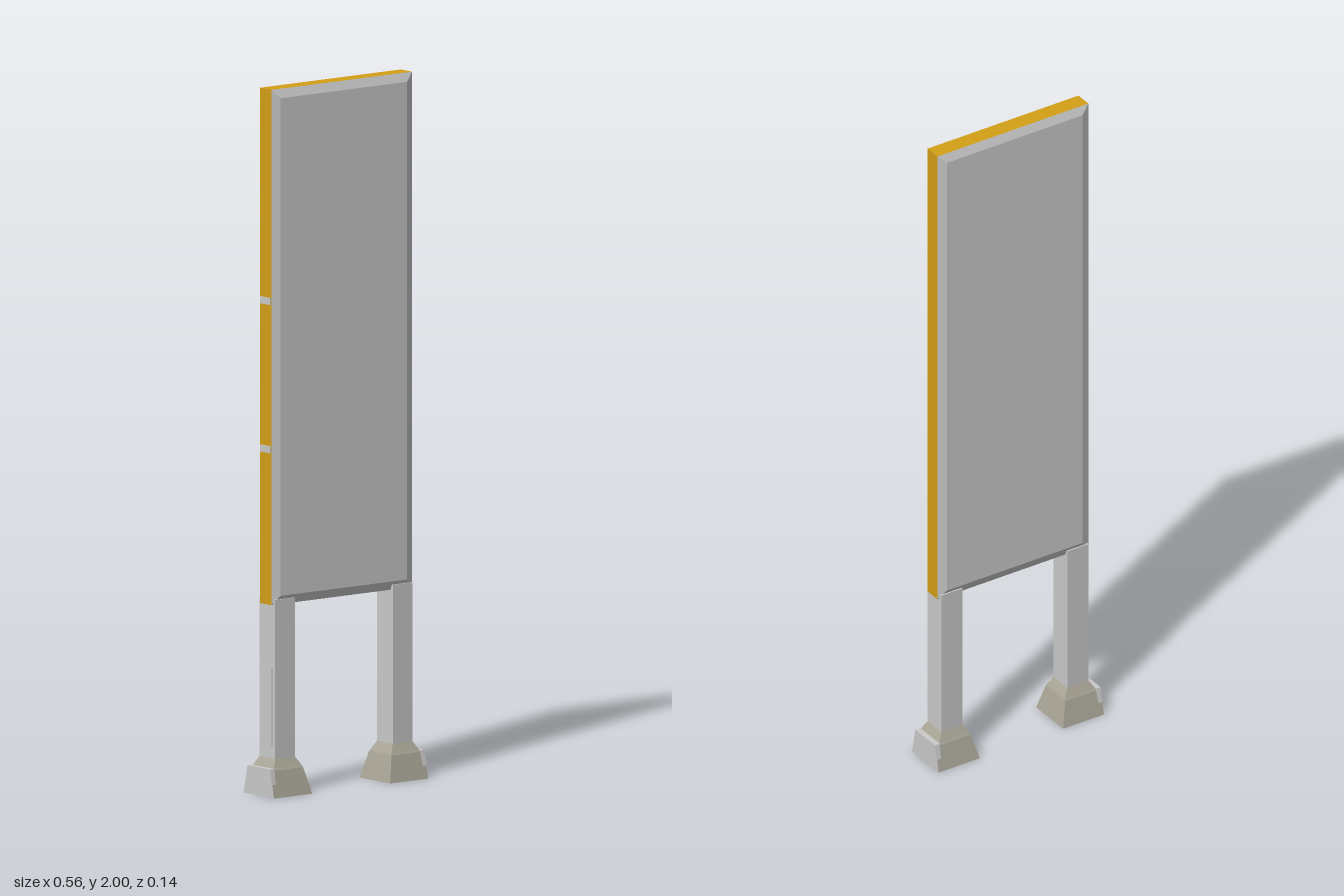
import * as THREE from 'three';

const grey = new THREE.MeshStandardMaterial({ color: 0xcccccc, flatShading: true });
const gold = new THREE.MeshStandardMaterial({ color: 0xd4a017, flatShading: true });
const stone = new THREE.MeshStandardMaterial({ color: 0xaaa698, flatShading: true });

// Skin rectangular rings [y, x0, x1, halfDepth] from first to last, with end caps
function loft(rings) {
  const pos = [], idx = [];
  for (const [y, x0, x1, d] of rings) {
    pos.push(x0, y, d, x1, y, d, x1, y, -d, x0, y, -d);
  }
  for (let r = 0; r < rings.length - 1; r++) {
    for (let i = 0; i < 4; i++) {
      const a = r * 4 + i, b = r * 4 + (i + 1) % 4;
      idx.push(a, b, b + 4, a, b + 4, a + 4);
    }
  }
  const t = (rings.length - 1) * 4;
  idx.push(0, 2, 1, 0, 3, 2, t, t + 1, t + 2, t, t + 2, t + 3);
  const g = new THREE.BufferGeometry();
  g.setAttribute('position', new THREE.Float32BufferAttribute(pos, 3));
  g.setIndex(idx);
  const flat = g.toNonIndexed();
  flat.computeVertexNormals();
  return flat;
}

function add(parent, name, geometry, material, x = 0, y = 0, z = 0) {
  const mesh = new THREE.Mesh(geometry, material);
  mesh.name = name;
  mesh.position.set(x, y, z);
  parent.add(mesh);
  return mesh;
}

const box = (w, h, d) => new THREE.BoxGeometry(w, h, d);

export function createModel() {
  const model = new THREE.Group();
  const bottom = 0.54, top = 2, halfW = 0.253, core = 0.025, bevel = 0.025;
  const midY = (bottom + top) / 2, halfH = (top - bottom) / 2;

  // Coloured frame showing around the edge of the panel
  add(model, 'panelFrame', box(halfW * 2, halfH * 2, core * 2), gold, 0, midY, 0);

  // Bevelled face plates, front and back
  const plate = loft([
    [core, -halfW, halfW, halfH],
    [0.0345, -halfW + bevel, halfW - bevel, halfH - bevel],
  ]).rotateX(Math.PI / 2);
  add(model, 'frontPlate', plate, grey, 0, midY, 0);
  add(model, 'backPlate', plate, grey, 0, midY, 0).rotation.y = Math.PI;

  // Small latches set in the right edge
  for (const y of [0.98, 1.4]) {
    add(model, 'edgeLatch', box(0.004, 0.02, 0.045), grey, -halfW, y, 0);
  }

  for (const side of [1, -1]) {
    const support = new THREE.Group();
    support.name = side > 0 ? 'leftSupport' : 'rightSupport';

    // Square post running up behind the panel's lower edge
    add(support, 'leg', box(0.071, 0.475, 0.07), grey, 0.2115, 0.3175, 0);

    // Hollow flared foot: inner cavity, rim, sloped walls, ledge, collar
    add(support, 'foot', loft([
      [0.08, 0.19, 0.233, 0.021],
      [0.035, 0.182, 0.241, 0.029],
      [0, 0.152, 0.265, 0.055],
      [0, 0.14, 0.277, 0.068],
      [0.075, 0.159, 0.277, 0.05],
      [0.08, 0.161, 0.262, 0.047],
      [0.105, 0.176, 0.247, 0.035],
    ]), stone);

    // Outer cover on the foot
    add(support, 'footCover', loft([
      [0, 0.266, 0.278, 0.067],
      [0.08, 0.262, 0.278, 0.05],
    ]), grey);

    // Right side is the left one turned half round
    if (side < 0) support.rotation.y = Math.PI;
    model.add(support);
  }

  // Access cover on the outside of the right leg
  add(model, 'legCover', box(0.004, 0.22, 0.045), grey, -0.2475, 0.25, 0);

  return model;
}
